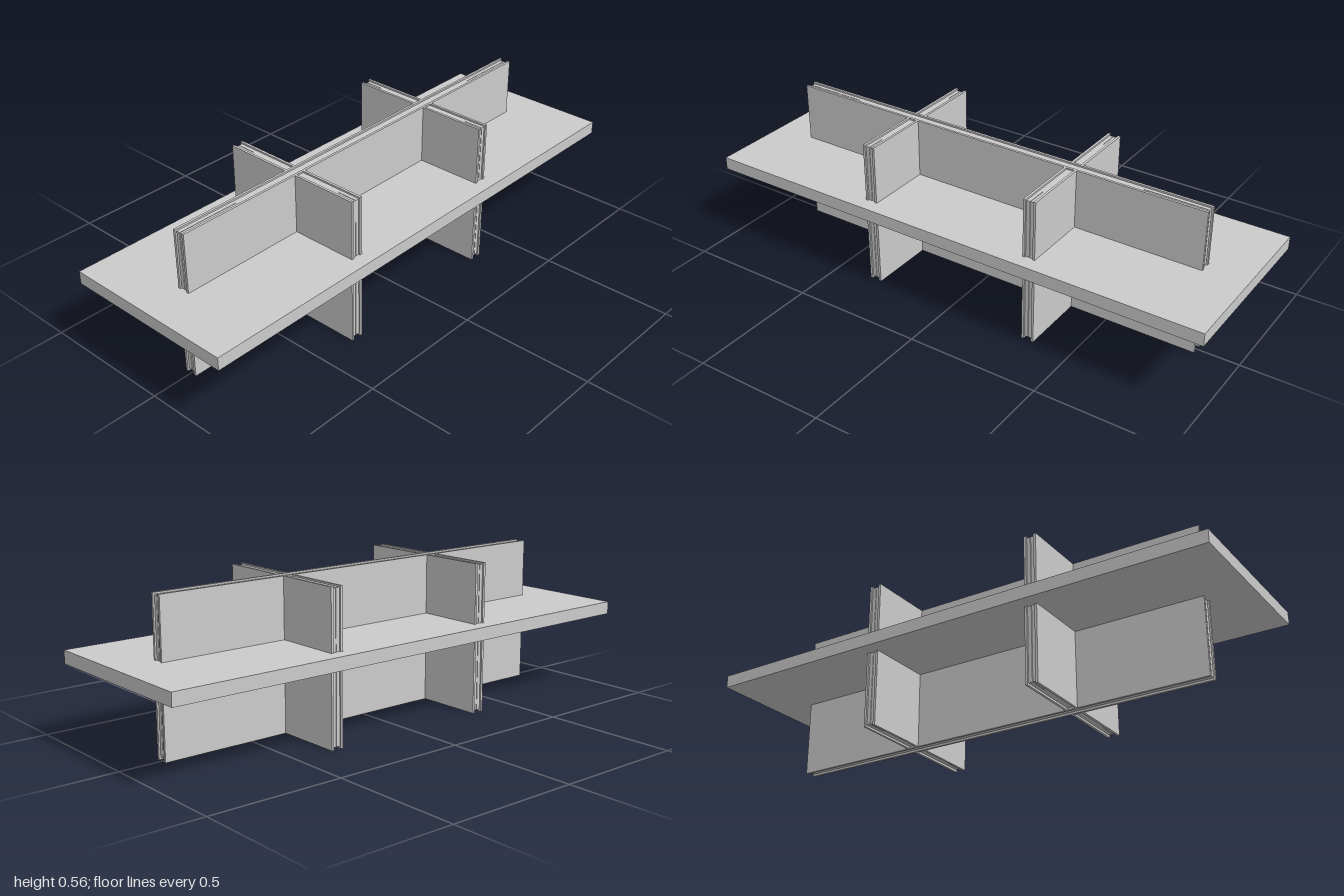
import * as THREE from 'three';

const HEIGHT = 0.557;

export function createModel() {
  const model = new THREE.Group();
  model.name = 'slottedPanelAssembly';
  const material = new THREE.MeshStandardMaterial({ color: 0xcccccc });

  // Box given by its lower and upper limits on each axis
  function board(parent, name, [x0, x1], [y0, y1], [z0, z1]) {
    const geometry = new THREE.BoxGeometry(x1 - x0, y1 - y0, z1 - z0);
    const mesh = new THREE.Mesh(geometry, material);
    mesh.position.set((x0 + x1) / 2, (y0 + y1) / 2, (z0 + z1) / 2);
    mesh.name = name;
    parent.add(mesh);
  }

  // Layered upright panel along local x: outer faces, recessed core, thin centre sheet
  function layeredPanel(name, start, end, sheetStart, sheetEnd, insetStart) {
    const panel = new THREE.Group();
    panel.name = name;
    const coreY = [0.008, 0.551];
    const coreX = [start + insetStart, end - 0.006];
    for (const s of [-1, 1]) {
      const span = (a, b) => (s > 0 ? [a, b] : [-b, -a]);
      board(panel, 'facing', [start, end], [0, HEIGHT], span(0.015, 0.024));
      board(panel, 'core', coreX, coreY, span(0.001, 0.015));
    }
    board(panel, 'centreSheet', [sheetStart, sheetEnd], coreY, [-0.001, 0.001]);
    return panel;
  }

  // Horizontal slab
  board(model, 'slab', [-0.333, 0.333], [0.287, 0.335], [-1, 1]);

  // Long panel running front to back
  const spine = layeredPanel('longPanel', -0.843, 0.843, -0.6, 0.6, 0.006);
  spine.rotation.y = Math.PI / 2;
  model.add(spine);

  // Four cross panel wings butting against the long panel
  for (const z of [-0.333, 0.333]) {
    for (const side of [-1, 1]) {
      const wing = layeredPanel(side > 0 ? 'leftCrossPanel' : 'rightCrossPanel', 0.024, 0.28, 0.024, 0.2, 0);
      wing.position.z = z;
      if (side < 0) wing.rotation.y = Math.PI;
      model.add(wing);
    }
  }
  return model;
}
